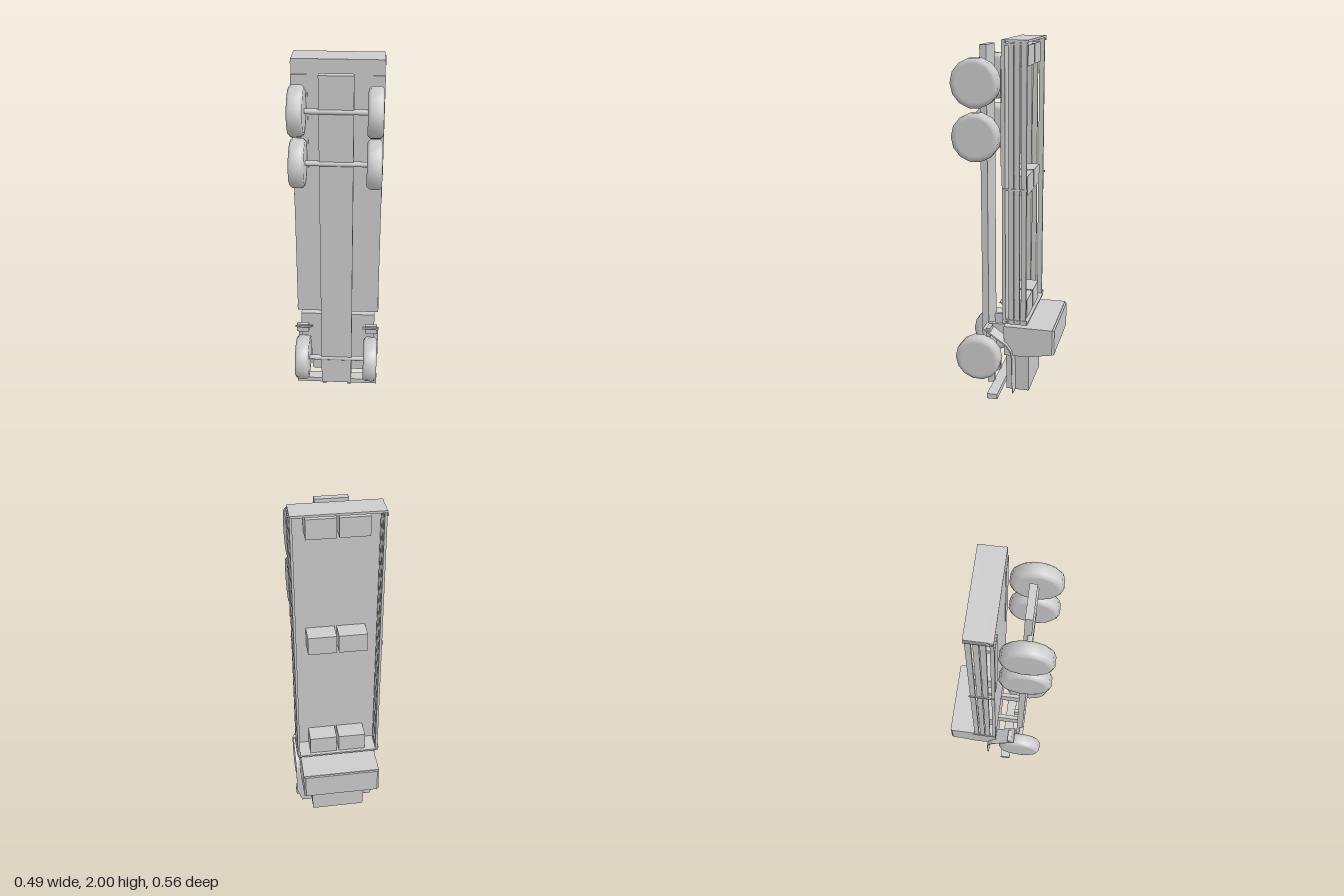
import * as THREE from 'three';

export function createModel() {
  const root = new THREE.Group();
  root.name = 'flatbedTruck';
  const grey = new THREE.MeshStandardMaterial({ color: 0xcccccc });
  grey.name = 'plain grey';

  const add = (name, geometry) => {
    const mesh = new THREE.Mesh(geometry, grey);
    mesh.name = name;
    root.add(mesh);
    return mesh;
  };
  // Box given by its limits on each axis
  const box = (name, x0, x1, y0, y1, z0, z1) =>
    add(name, new THREE.BoxGeometry(x1 - x0, y1 - y0, z1 - z0)
      .translate((x0 + x1) / 2, (y0 + y1) / 2, (z0 + z1) / 2));
  // The same box on both sides
  const pair = (name, x0, x1, ...rest) => {
    box(name + 'Left', x0, x1, ...rest);
    box(name + 'Right', -x1, -x0, ...rest);
  };
  // Side profile of [z, y] points, extruded across x
  const across = (points, x0, x1) => {
    const shape = new THREE.Shape(points.map(([z, y]) => new THREE.Vector2(-z, y)));
    return new THREE.ExtrudeGeometry(shape, { depth: x1 - x0, bevelEnabled: false })
      .rotateY(Math.PI / 2).translate(x0, 0, 0);
  };

  // Chassis, bumper and cab mounts
  box('chassis', -0.088, 0.088, 0.06, 1.965, 0.12, 0.157);
  box('bumper', -0.24, 0.24, 0.005, 0.035, 0.035, 0.094);
  pair('bumperBracket', 0.062, 0.084, 0.025, 0.085, 0.088, 0.13);
  pair('cabMount', 0.06, 0.082, 0.325, 0.4, 0, 0.122);

  // Axles and wheels
  const h = 0.039, r = 0.13;
  const tyre = [[0, -h], [0.1, -h], [r - 0.014, -h], [r, -h + 0.014],
    [r, h - 0.014], [r - 0.014, h], [0.1, h], [0, h]].map(p => new THREE.Vector2(...p));
  const wheelGeometry = new THREE.LatheGeometry(tyre, 14).rotateZ(Math.PI / 2);
  const axleGeometry = new THREE.CylinderGeometry(0.014, 0.014, 0.33, 12).rotateZ(Math.PI / 2);
  for (const y of [0.24, 1.5, 1.78]) {
    add('axle', axleGeometry).position.set(0, y, 0.15);
    for (const s of [-1, 1]) add('wheel', wheelGeometry).position.set(s * 0.197, y, 0.15);
  }

  // Cab and roof
  add('cab', across([[0, 0.45], [-0.272, 0.45], [-0.272, 0.303], [-0.13, 0.277], [0, 0.277]], -0.218, 0.218));
  const roof = new THREE.Shape([[-0.22, 0.272], [0.22, 0.272], [0.208, 0.283], [-0.208, 0.283]]
    .map(p => new THREE.Vector2(...p)));
  add('roof', new THREE.ExtrudeGeometry(roof, { depth: 0.143, bevelEnabled: false })
    .rotateX(-Math.PI / 2).translate(0, 0.303, 0));

  // Hood, slightly narrower at the nose
  const hood = new THREE.BoxGeometry(0.33, 0.245, 0.13).translate(0, 0.1575, -0.065);
  const hp = hood.attributes.position;
  for (let i = 0; i < hp.count; i++) if (hp.getY(i) < 0.1) hp.setX(i, hp.getX(i) * 0.93);
  hood.computeVertexNormals();
  add('hood', hood);

  // Front fenders: curved sheets that narrow towards the nose
  const line = [[0.112, 0.437], [0.09, 0.425], [0.03, 0.382], [-0.02, 0.348], [-0.045, 0.31],
    [-0.053, 0.27], [-0.053, 0.13], [-0.053, 0.04]];
  const back = line.map(([z, y]) => [z + 0.005, y - 0.006]).reverse();
  for (const s of [-1, 1]) {
    const fender = across([...line, ...back], s > 0 ? 0.15 : -0.243, s > 0 ? 0.243 : -0.15);
    const fp = fender.attributes.position;
    for (let i = 0; i < fp.count; i++)
      if (fp.getY(i) < 0.1 && Math.abs(fp.getX(i)) > 0.2) fp.setX(i, s * 0.213);
    fender.computeVertexNormals();
    add(s > 0 ? 'fenderLeft' : 'fenderRight', fender);
  }
  pair('fenderStep', 0.165, 0.235, 0.385, 0.437, 0.074, 0.096);

  // Cargo bed with end boards
  box('bedFloor', -0.237, 0.237, 0.475, 2, -0.015, 0.003);
  box('tailgate', -0.235, 0.235, 1.988, 2, -0.135, -0.015);
  box('headboard', -0.235, 0.235, 0.475, 0.485, -0.135, -0.015);
  pair('mudPanel', 0.155, 0.24, 1.36, 1.92, 0.003, 0.008);

  // Side slats and their posts
  for (const z of [-0.032, -0.064, -0.1])
    pair('sideSlat', 0.222, 0.235, 0.475, 1.995, z - 0.028, z);
  for (const y of [0.497, 1.237, 1.978])
    pair('slatPost', 0.232, 0.24, y - 0.005, y + 0.005, -0.135, 0);

  // Paired cargo boxes
  for (const y of [0.487, 1.19, 1.865])
    pair('cargoBox', 0.006, 0.16, y, y + 0.105, -0.118, -0.015);

  return root;
}
